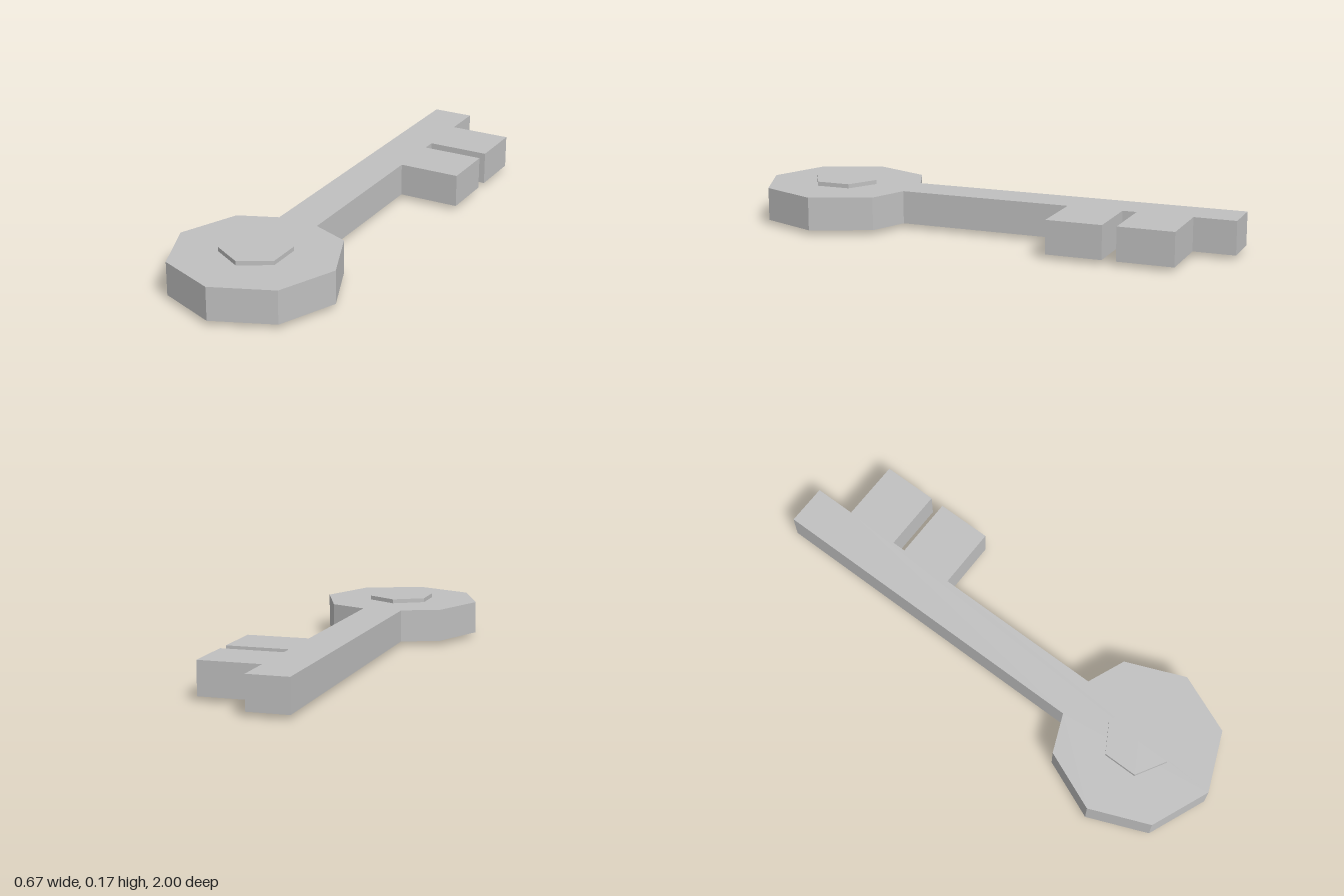
import * as THREE from 'three';

export function createModel() {
  const key = new THREE.Group();
  key.name = 'key';
  const metal = new THREE.MeshStandardMaterial({ color: 0xc0c0c0 });
  metal.name = 'grey metal';

  const half = 0.083;              // half width of the shaft
  const bowR = 0.333, bowZ = 0.667; // octagonal bow
  const bitX = 0.333;              // reach of the teeth
  const joinZ = bowZ - bowR + half * Math.tan(Math.PI / 8);

  // Outline in plan as [x, z]: shaft tip, two teeth, then round the bow
  const outline = [[-half, -1], [half, -1]];
  for (const [back, front] of [[-0.833, -0.611], [-0.555, -0.333]]) {
    outline.push([half, back], [bitX, back], [bitX, front], [half, front]);
  }
  outline.push([half, joinZ]);
  for (let i = 1; i < 8; i++) {
    const a = (i * Math.PI) / 4;
    outline.push([bowR * Math.sin(a), bowZ - bowR * Math.cos(a)]);
  }
  outline.push([-half, joinZ]);

  // Flat key body
  const shape = new THREE.Shape(outline.map(([x, z]) => new THREE.Vector2(x, -z)));
  const bodyGeometry = new THREE.ExtrudeGeometry(shape, { depth: 0.133, bevelEnabled: false });
  bodyGeometry.rotateX(-Math.PI / 2);
  const body = new THREE.Mesh(bodyGeometry, metal);
  body.name = 'keyBody';
  body.position.y = 0.017;
  key.add(body);

  // Hexagonal boss, raised on both faces of the bow
  const bossGeometry = new THREE.CylinderGeometry(0.138, 0.138, 0.167, 6).toNonIndexed();
  bossGeometry.computeVertexNormals();
  const boss = new THREE.Mesh(bossGeometry, metal);
  boss.name = 'bowBoss';
  boss.position.set(0, 0.0835, bowZ);
  key.add(boss);

  return key;
}
